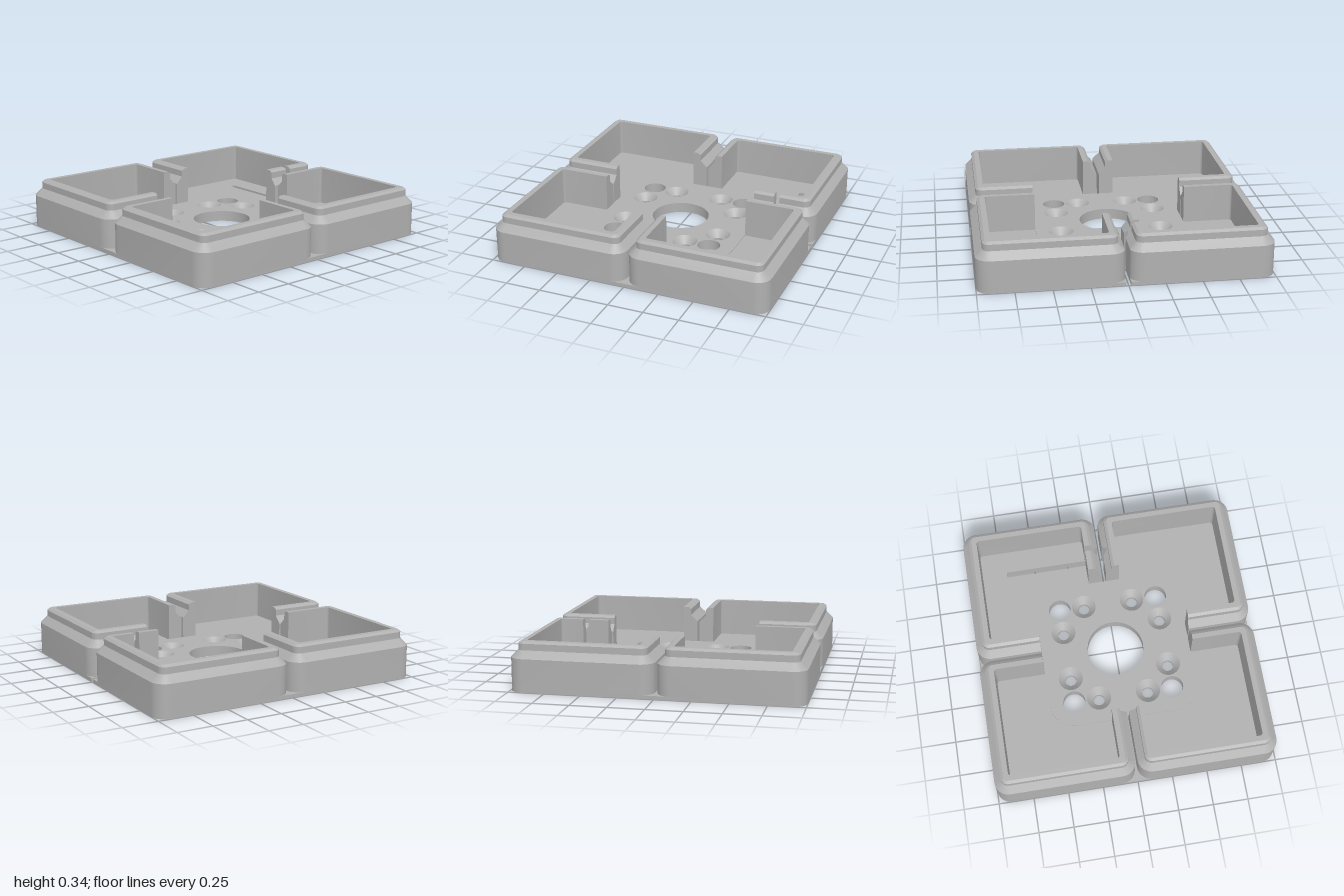
import * as THREE from 'three';
import { toCreasedNormals } from 'three/addons/utils/BufferGeometryUtils.js';

const GAP = 0.008, SLOT = 0.017, PAD = 0.54, PAD_R = 0.18, CORNER = 0.1;
const BASE_TOP = 0.025, FLOOR_TOP = 0.07, PAD_TOP = 0.075;
const SLIT = [0.69, 0.73], FLARE = [0.67, 0.75];

// Wall cross-section: [inset from the outer face, height]
const PROFILE = [[0, BASE_TOP], [0, 0.23], [0.05, 0.28], [0.05, 0.325], [0.07, 0.34], [0.107, 0.34], [0.107, BASE_TOP]];

const arc = (cx, cy, r, a0, a1, n = 10) => Array.from({ length: n + 1 }, (_, i) => {
  const a = (a0 + (a1 - a0) * i / n) * Math.PI / 180;
  return [cx + r * Math.cos(a), cy + r * Math.sin(a)];
});
const toShape = pts => new THREE.Shape(pts.map(p => new THREE.Vector2(p[0], p[1])));

function addHole(shape, x, z, r) {
  const path = new THREE.Path();
  path.absarc(x, z, r, 0, Math.PI * 2, true);
  shape.holes.push(path);
}

// Flat plate: shape in x/z between two heights
function slab(shape, y0, y1) {
  const g = new THREE.ExtrudeGeometry(shape, { depth: y1 - y0, bevelEnabled: false, curveSegments: 24 });
  g.rotateX(Math.PI / 2);
  g.translate(0, y1, 0);
  return toCreasedNormals(g, 0.5);
}

// Stations give [u, v, outward shift] for an inset d
const along = (u, cut = 0) => d => [u, GAP + Math.max(d, cut), cut];
const corner = (sideU, sideV, a0) => Array.from({ length: 9 }, (_, i) => d => {
  const r = Math.max(CORNER - d, 0.02), e = d + r, a = (a0 + i * 11.25) * Math.PI / 180;
  const cu = sideU > 0 ? 1 - e : GAP + e, cv = sideV > 0 ? 1 - e : GAP + e;
  return [cu + r * Math.cos(a), cv + r * Math.sin(a), 0];
});

// Sweep the wall profile through the stations, mirrored into one quadrant
function wallGeometry(stations, sx, sz, minV) {
  const rings = stations.map(s => PROFILE.map(([d, y], j) => {
    const [u, v, cut] = s(d);
    return [sx * u, j === 1 ? y + cut : y, sz * Math.max(v, minV)];
  }));
  const pos = [], n = PROFILE.length;
  const tri = (a, b, c) => pos.push(...a, ...(sx * sz > 0 ? [...b, ...c] : [...c, ...b]));
  for (let i = 0; i < rings.length - 1; i++) {
    for (let j = 0; j < n; j++) {
      const k = (j + 1) % n, A = rings[i], B = rings[i + 1];
      tri(A[j], A[k], B[k]);
      tri(A[j], B[k], B[j]);
    }
  }
  const first = rings[0], last = rings[rings.length - 1];
  for (let j = 0; j < n - 2; j++) {
    tri(first[n - 1], first[j + 1], first[j]);
    tri(last[n - 1], last[j], last[j + 1]);
  }
  const g = new THREE.BufferGeometry();
  g.setAttribute('position', new THREE.Float32BufferAttribute(pos, 3));
  return toCreasedNormals(g, 0.5);
}

export function createModel() {
  const model = new THREE.Group();
  model.name = 'fourCupTray';
  const grey = new THREE.MeshStandardMaterial({ color: 0xb0b0b0, side: THREE.DoubleSide });
  grey.name = 'grey';
  const add = (parent, name, geometry) => {
    const mesh = new THREE.Mesh(geometry, grey);
    mesh.name = name;
    parent.add(mesh);
    return mesh;
  };

  // Hole positions, repeated in the four quadrants
  const quadrants = [[1, 1], [1, -1], [-1, 1], [-1, -1]];
  const screws = quadrants.flatMap(([a, b]) => [[0.18 * a, 0.36 * b], [0.36 * a, 0.18 * b]]);
  const drill = (shape, screwRadius) => {
    addHole(shape, 0, 0, 0.205);
    quadrants.forEach(([a, b]) => addHole(shape, 0.36 * a, 0.36 * b, 0.08));
    screws.forEach(([x, z]) => addHole(shape, x, z, screwRadius));
    return shape;
  };

  // Base plate with the slot and slit cut in from the +x edge
  const c = 1 - CORNER;
  const base = toShape([
    ...arc(-c, -c, CORNER, 180, 270), ...arc(c, -c, CORNER, 270, 360),
    [1, -SLOT], [FLARE[1], -SLOT], [SLIT[1], -0.04], [SLIT[1], -0.71], [SLIT[0], -0.71], [SLIT[0], -0.04],
    [FLARE[0], -SLOT], [PAD - 0.01, -SLOT], [PAD - 0.01, SLOT], [FLARE[0], SLOT], [0.71, 0.055], [FLARE[1], SLOT], [1, SLOT],
    ...arc(c, c, CORNER, 0, 90), ...arc(-c, c, CORNER, 90, 180),
  ]);
  add(model, 'basePlate', slab(drill(base, 0.04), 0, BASE_TOP));

  // Central mounting pad
  const p = PAD - PAD_R;
  const pad = toShape([
    ...arc(p, p, PAD_R, 0, 90), ...arc(-p, p, PAD_R, 90, 180),
    ...arc(-p, -p, PAD_R, 180, 270), ...arc(p, -p, PAD_R, 270, 360),
  ]);
  add(model, 'mountingPad', slab(drill(pad, 0.088), BASE_TOP, PAD_TOP));

  // Countersinks
  const cone = new THREE.CylinderGeometry(0.088, 0.04, PAD_TOP - BASE_TOP, 48, 1, true);
  screws.forEach(([x, z]) => add(model, 'countersink', cone).position.set(x, (PAD_TOP + BASE_TOP) / 2, z));

  // Four open cups around the pad
  for (const [sx, sz] of quadrants) {
    const cup = new THREE.Group();
    cup.name = (sz > 0 ? 'front' : 'back') + (sx > 0 ? 'Left' : 'Right') + 'Cup';
    model.add(cup);
    const hasSlit = sx > 0 && sz < 0, hasNotch = sx > 0 && sz > 0;
    const minV = sx > 0 ? SLOT : 0;

    // Floor, its edges buried in the walls
    const slit = hasSlit ? [[SLIT[0], 0.06], [SLIT[0], 0.71], [SLIT[1], 0.71], [SLIT[1], 0.06]] : [];
    const floor = [[PAD, 0.06], ...slit, [0.94, 0.06], [0.94, 0.94], [0.06, 0.94], [0.06, PAD], ...arc(p, p, PAD_R, 90, 0)];
    add(cup, 'cupFloor', slab(toShape(floor.map(([u, v]) => [sx * u, sz * v])), BASE_TOP, FLOOR_TOP));

    // Walls, split by the slit or notched opposite it
    const round = [...corner(1, -1, -90), ...corner(1, 1, 0), ...corner(-1, 1, 90), d => [GAP + d, PAD, 0]];
    const edge = SLOT - GAP;
    if (hasSlit) {
      add(cup, 'shortWall', wallGeometry([along(PAD), along(FLARE[0], edge), along(SLIT[0], 0.032)], sx, sz, minV));
      add(cup, 'cupWall', wallGeometry([along(SLIT[1], 0.032), along(FLARE[1], edge), ...round], sx, sz, minV));
    } else {
      const notch = hasNotch ? [along(FLARE[0], edge), along(0.71, 0.047), along(FLARE[1], edge)] : [];
      add(cup, 'cupWall', wallGeometry([along(PAD), ...notch, ...round], sx, sz, minV));
    }
  }
  return model;
}
